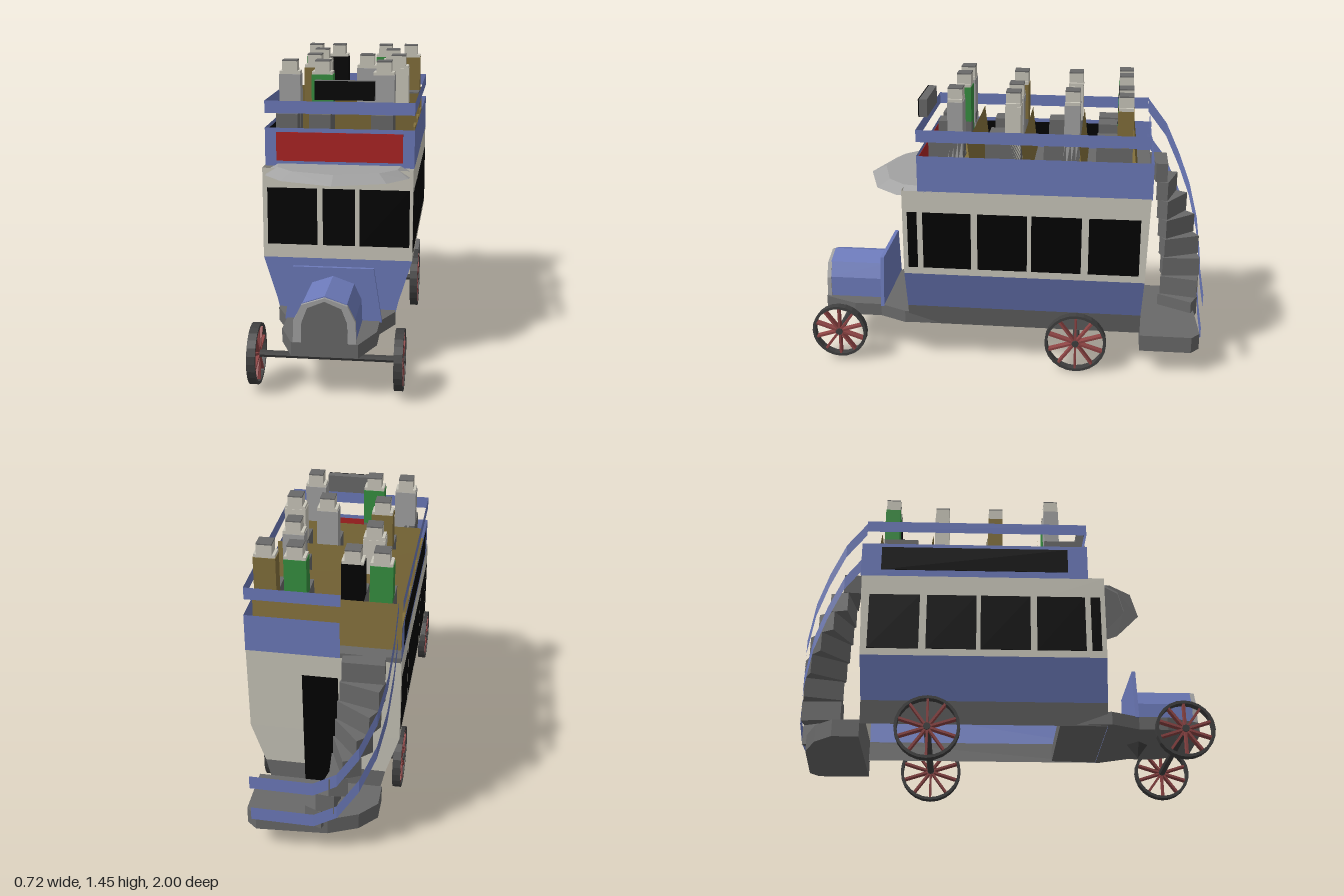
import * as THREE from 'three';

const mat = (name, color) => new THREE.MeshStandardMaterial({ name, color, side: THREE.DoubleSide, flatShading: true });

export function createModel() {
  const M = {
    blue: mat('blue paint', 0x6c7aba), cream: mat('cream paint', 0xcac7bb), black: mat('black', 0x020202),
    red: mat('red sign', 0xac2323), brown: mat('bench brown', 0x826f3b), green: mat('green coat', 0x368f40),
    grey: mat('dark grey', 0x696969), light: mat('light grey', 0xa2a2a2), tyre: mat('charcoal', 0x404040),
    spoke: mat('spoke red', 0x8f4545),
  };
  const model = new THREE.Group();
  model.name = 'openTopBus';

  const add = (name, geo, m, parent = model) => {
    const mesh = new THREE.Mesh(geo, m);
    mesh.name = name;
    parent.add(mesh);
    return mesh;
  };
  // box given by its low and high limits on each axis
  const box = (name, m, x0, x1, y0, y1, z0, z1, parent) => {
    const mesh = add(name, new THREE.BoxGeometry(x1 - x0, y1 - y0, z1 - z0), m, parent);
    mesh.position.set((x0 + x1) / 2, (y0 + y1) / 2, (z0 + z1) / 2);
  };
  // four-cornered panels
  const quads = (name, m, list) => {
    const pos = [];
    for (const [a, b, c, d] of list) pos.push(...a, ...b, ...c, ...a, ...c, ...d);
    const g = new THREE.BufferGeometry();
    g.setAttribute('position', new THREE.Float32BufferAttribute(pos, 3));
    g.computeVertexNormals();
    add(name, g, m);
  };
  // flat slab from an outline of [x, z] points
  const slab = (name, m, pts, y0, y1) => {
    const shape = new THREE.Shape(pts.map(([x, z]) => new THREE.Vector2(x, -z)));
    const g = new THREE.ExtrudeGeometry(shape, { depth: y1 - y0, bevelEnabled: false });
    add(name, g.rotateX(-Math.PI / 2), m).position.y = y0;
  };
  // upright ribbon of height h along [x, y, z] points
  const band = (name, m, pts, h) => quads(name, m, pts.slice(1).map((b, i) => {
    const a = pts[i];
    return [a, b, [b[0], b[1] + h, b[2]], [a[0], a[1] + h, a[2]]];
  }));
  const mirrored = pts => [...pts, ...pts.slice().reverse().map(([x, z]) => [-x, z])];

  // Body walls: levels are [y, half width, front z, back z]
  const levels = [[0.2, 0.27, 0.5, -0.69], [0.31, 0.295, 0.5, -0.69], [0.52, 0.36, 0.5, -0.7], [0.96, 0.36, 0.5, -0.715]];
  const corners = ([y, w, f, b]) => [[w, y, b], [w, y, f], [-w, y, f], [-w, y, b]];
  const tier = (name, i, sideMat, frontMat, backMat) => {
    const a = corners(levels[i]), b = corners(levels[i + 1]);
    const wall = k => [a[(k + 1) % 4], a[k], b[k], b[(k + 1) % 4]];
    quads(name + 'Sides', sideMat, [wall(0), wall(2)]);
    quads(name + 'Front', frontMat, [wall(1)]);
    quads(name + 'Back', backMat, [wall(3)]);
  };
  tier('skirt', 0, M.grey, M.blue, M.grey);
  tier('lowerBody', 1, M.blue, M.blue, M.cream);
  tier('cabin', 2, M.cream, M.cream, M.cream);

  // Windows and rear door
  for (const s of [-1, 1])
    for (const [z0, z1] of [[0.428, 0.476], [0.16, 0.4], [-0.118, 0.128], [-0.385, -0.139], [-0.67, -0.42]])
      box('sideWindow', M.black, s * 0.3605 - 0.0015, s * 0.3605 + 0.0015, 0.556, 0.85, z0, z1);
  for (const [x0, x1] of [[-0.337, -0.097], [-0.07, 0.084], [0.107, 0.345]])
    box('frontWindow', M.black, x0, x1, 0.587, 0.865, 0.498, 0.503);
  const doorRow = (y, z) => [[0.1, y, z], [-0.07, y, z]];
  const sill = doorRow(0.215, -0.692), middle = doorRow(0.52, -0.702), lintel = doorRow(0.84, -0.713);
  quads('rearDoor', M.black, [[...sill, middle[1], middle[0]], [...middle, lintel[1], lintel[0]]]);

  // Upper deck: floor, panels, signs and rail
  box('deckFloor', M.grey, -0.358, 0.358, 0.955, 0.98, -0.718, 0.418);
  const deckPath = (y, back) => [[-0.36, y, back], [-0.36, y, 0.42], [0.36, y, 0.42], [0.36, y, back], [-0.08, y, back]];
  band('deckPanels', M.blue, deckPath(0.955, -0.72), 0.185);
  band('deckRail', M.blue, deckPath(1.21, -0.7), 0.06);
  box('frontSign', M.red, -0.305, 0.305, 0.98, 1.12, 0.418, 0.424);
  box('sideSign', M.black, -0.362, -0.358, 0.99, 1.12, -0.62, 0.32);
  box('noticeBoard', M.grey, -0.115, 0.17, 1.28, 1.37, 0.395, 0.435);
  box('noticeBoardFace', M.black, -0.115, 0.17, 1.28, 1.37, 0.435, 0.44);

  // Canopy over the driver: flat centre with a drooping rim
  const half = [[0.355, 0.41], [0.34, 0.53], [0.245, 0.645], [0, 0.725]];
  const outline = [...half, ...half.slice(0, 3).reverse().map(([x, z]) => [-x, z])];
  const inner = outline.map(([x, z]) => [x * 0.84, 0.41 + (z - 0.41) * 0.76]);
  slab('canopyTop', M.light, inner, 0.955, 0.966);
  quads('canopyRim', M.light, outline.slice(1).map((b, i) => {
    const a = outline[i], c = inner[i + 1], d = inner[i];
    return [[a[0], 0.93, a[1]], [b[0], 0.93, b[1]], [c[0], 0.966, c[1]], [d[0], 0.966, d[1]]];
  }));

  // Benches and seated passengers
  const passenger = (coat, x, z) => {
    const p = new THREE.Group();
    p.name = 'passenger';
    box('lap', M.grey, -0.052, 0.052, 1.08, 1.2, 0, 0.172, p);
    box('torso', coat, -0.052, 0.052, 1.1, 1.38, 0, 0.075, p);
    box('shoulders', M.cream, -0.05, 0.05, 1.38, 1.395, 0.002, 0.073, p);
    box('head', M.cream, -0.036, 0.036, 1.395, 1.443, 0.002, 0.073, p);
    box('cap', M.grey, -0.036, 0.036, 1.443, 1.449, 0.002, 0.073, p);
    p.position.set(x, 0, z);
    model.add(p);
  };
  // each row: bench z, passenger z, passengers as [x, coat]
  const rows = [
    [0.147, 0.207, [[-0.26, M.light], [-0.1, M.green], [0.2, M.light]]],
    [-0.113, -0.08, [[-0.18, M.brown], [0.09, M.light], [0.25, M.cream]]],
    [-0.39, -0.36, [[-0.18, M.cream], [0.2, M.light]]],
    [-0.65, -0.615, [[-0.25, M.green], [-0.12, M.black], [0.14, M.green], [0.28, M.brown]]],
  ];
  for (const [z, seatZ, people] of rows) {
    box('benchSeat', M.brown, -0.35, 0.34, 0.98, 1.09, z + 0.015, z + 0.155);
    quads('benchBack', M.brown, [[[0.34, 0.98, z], [-0.35, 0.98, z], [-0.35, 1.205, z + 0.027], [0.34, 1.205, z + 0.027]]]);
    for (const [x, coat] of people) passenger(coat, x, seatZ);
  }

  // Front frame, bonnet, radiator and dashboard
  slab('frontFrame', M.grey, mirrored([[0.265, 0.27], [0.285, 0.52], [0.22, 0.66], [0.22, 0.8], [0.15, 0.97]]), 0.205, 0.27);
  const arch = (w, y0, top) => new THREE.Shape([[-w, y0], [w, y0], [w * 0.97, y0 + (top - y0) * 0.5],
    [w * 0.72, y0 + (top - y0) * 0.84], [0, top], [-w * 0.72, y0 + (top - y0) * 0.84],
    [-w * 0.97, y0 + (top - y0) * 0.5]].map(p => new THREE.Vector2(...p)));
  const extrude = (name, m, shape, z0, z1) => {
    add(name, new THREE.ExtrudeGeometry(shape, { depth: z1 - z0, bevelEnabled: false }), m).position.z = z0;
  };
  extrude('bonnet', M.blue, arch(0.138, 0.265, 0.485), 0.65, 0.95);
  extrude('radiatorShell', M.light, arch(0.143, 0.265, 0.48), 0.945, 0.966);
  extrude('radiator', M.grey, arch(0.105, 0.265, 0.465), 0.96, 0.971);
  extrude('dashboard', M.blue, new THREE.Shape([[-0.23, 0.265], [0.23, 0.265], [0.19, 0.525], [-0.19, 0.525]]
    .map(p => new THREE.Vector2(...p))), 0.642, 0.66);
  const sump = add('sump', new THREE.ConeGeometry(0.06, 0.08, 4), M.tyre);
  sump.rotation.x = Math.PI;
  sump.position.set(0, 0.175, 0.68);

  // Wheels and axles
  const wheel = (r, x, y, z) => {
    const w = new THREE.Group();
    w.name = 'wheel';
    const rim = new THREE.Shape().absarc(0, 0, r, 0, Math.PI * 2);
    rim.holes.push(new THREE.Path().absarc(0, 0, r - 0.014, 0, Math.PI * 2, true));
    add('tyre', new THREE.ExtrudeGeometry(rim, { depth: 0.04, bevelEnabled: false, curveSegments: 12 }), M.tyre, w).position.z = -0.02;
    for (let i = 0; i < 10; i++) {
      const g = new THREE.BoxGeometry(0.011, r - 0.015, 0.034);
      g.translate(0, (r - 0.015) / 2, 0);
      add('spoke', g, M.spoke, w).rotation.z = i * Math.PI / 5;
    }
    add('hub', new THREE.CylinderGeometry(0.018, 0.018, 0.05, 8).rotateX(Math.PI / 2), M.tyre, w);
    w.rotation.y = Math.PI / 2;
    w.position.set(x, y, z);
    model.add(w);
  };
  for (const [r, y, z] of [[0.142, 0.165, 0.858], [0.157, 0.16, -0.366]]) {
    for (const x of [-0.33, 0.33]) wheel(r, x, y, z);
    add('axle', new THREE.CylinderGeometry(0.017, 0.017, 0.7, 8).rotateZ(Math.PI / 2), M.tyre).position.set(0, y, z);
  }

  // Rear platform and winding stair of overlapping treads
  slab('rearPlatform', M.grey, [[0.33, -0.69], [0.33, -0.95], [0.28, -0.992], [-0.06, -0.97], [-0.2, -0.91], [-0.28, -0.82], [-0.28, -0.69]], 0.13, 0.215);
  for (let i = 0; i < 8; i++) {
    const a = (-5 + i * 17) * Math.PI / 180, top = 0.99 - i * 0.102;
    // r runs outward from the newel, s sideways along the tread
    const at = (r, s) => [-0.08 - r * Math.cos(a) + s * Math.sin(a), -0.78 - r * Math.sin(a) - s * Math.cos(a)];
    slab('stairStep', M.grey, [at(0.02, -0.03), at(0.215, -0.045), at(0.215, 0.045), at(0.02, 0.03)], top - 0.1, top);
  }

  // Two stair rails that wind down and run along the platform edge
  const railPath = [[-0.34, 1.2, -0.7], [-0.337, 1.07, -0.8], [-0.32, 0.91, -0.875], [-0.285, 0.76, -0.935],
    [-0.21, 0.59, -0.98], [-0.11, 0.44, -0.998], [0, 0.375, -0.999], [0.3, 0.375, -0.995]];
  band('upperStairRail', M.blue, railPath, 0.07);
  band('lowerStairRail', M.blue, railPath.map(([x, y, z]) => [x, y - 0.185, z]), 0.07);
  return model;
}
